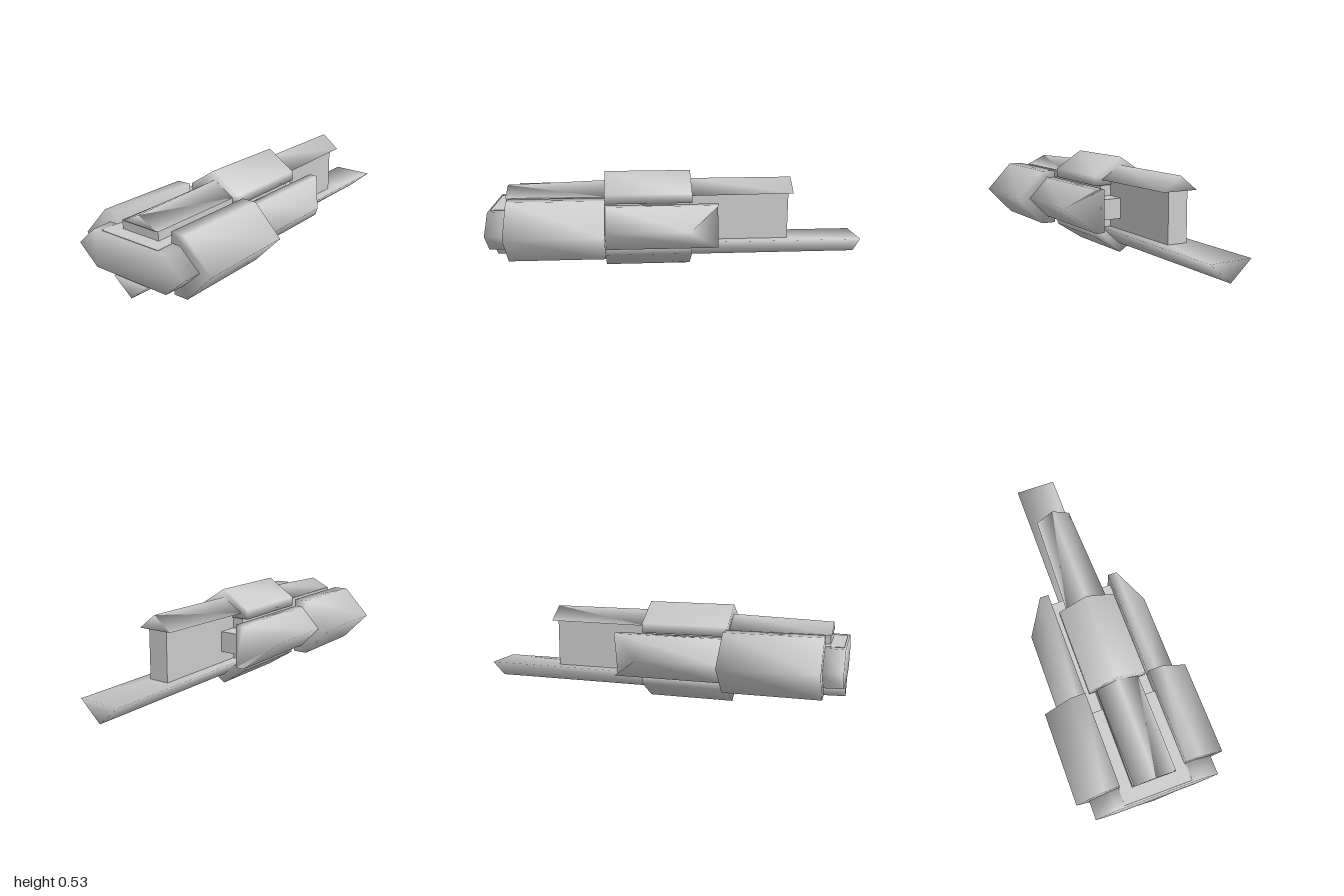
import * as THREE from 'three';

const material = new THREE.MeshStandardMaterial({ color: 0xcccccc });

// Smooth solid lofted along x. Each section is a convex loop of [x, y, z],
// counter-clockwise when seen from +x; sections run from low x to high x.
function loft(name, sections) {
  const n = sections[0].length;
  const last = (sections.length - 1) * n;
  const index = [];
  for (let s = 0; s < sections.length - 1; s++) {
    for (let j = 0; j < n; j++) {
      const a = s * n + j, b = s * n + (j + 1) % n;
      index.push(a, b, b + n, a, b + n, a + n);
    }
  }
  for (let k = 1; k < n - 1; k++) {
    index.push(0, k + 1, k, last, last + k, last + k + 1);
  }
  const geometry = new THREE.BufferGeometry();
  geometry.setAttribute('position', new THREE.Float32BufferAttribute(sections.flat(2), 3));
  geometry.setIndex(index);
  geometry.computeVertexNormals();
  const mesh = new THREE.Mesh(geometry, material);
  mesh.name = name;
  return mesh;
}

function box(name, x0, x1, y0, y1, halfZ) {
  const mesh = new THREE.Mesh(new THREE.BoxGeometry(x1 - x0, y1 - y0, 2 * halfZ), material);
  mesh.position.set((x0 + x1) / 2, (y0 + y1) / 2, 0);
  mesh.name = name;
  return mesh;
}

// Triangular rail section: base at height y, ridge at height tip
function ridge(x, y, tip, w) {
  const loop = [[x, y, -w], [x, tip, 0], [x, y, w]];
  return tip > y ? loop : loop.reverse();
}

// House-shaped sleeve section: flat base, short walls, ridge
function house(x, base, wall, tip, w) {
  const loop = [[x, base, -w], [x, wall, -w], [x, tip, 0], [x, wall, w], [x, base, w]];
  return tip > base ? loop : loop.reverse();
}

// Pointed side-pod section; tipX lets the outer edge sit back from the end
function pod(side, x, h, zIn, zMid, zOut, tipX = x) {
  const y = 0.265;
  const loop = [
    [x, y + h, zIn], [x, y + h, zMid], [tipX, y, zOut], [x, y - h, zMid], [x, y - h, zIn],
  ].map(([px, py, pz]) => [px, py, pz * side]);
  return side > 0 ? loop : loop.reverse();
}

export function createModel() {
  const model = new THREE.Group();
  model.name = 'blaster';

  // Core blocks and the upright web between the rails
  model.add(
    box('rearCore', -0.99, -0.5, 0.17, 0.365, 0.18),
    box('centreCore', -0.92, 0.05, 0.15, 0.41, 0.115),
    box('crossCore', -0.6, 0.16, 0.21, 0.32, 0.178),
    box('web', -0.4, 0.6, 0.14, 0.42, 0.055),
  );

  // Upper rail and its sleeve
  model.add(
    loft('upperRail', [
      ridge(-0.925, 0.41, 0.462, 0.107),
      ridge(-0.4, 0.41, 0.48, 0.115),
      ridge(0.06, 0.41, 0.485, 0.115),
      ridge(0.62, 0.41, 0.485, 0.095),
    ]),
    loft('upperSleeve', [-0.405, 0.06].map((x) => house(x, 0.38, 0.43, 0.53, 0.155))),
  );

  // Lower rail and its sleeve
  model.add(
    loft('lowerRail', [
      ridge(-1, 0.16, 0.075, 0.107),
      ridge(-0.4, 0.15, 0.06, 0.115),
    ]),
    loft('lowerBlade', [-0.4, 1].map((x) => ridge(x, 0.15, 0.05, 0.115))),
    loft('lowerSleeve', [-0.405, 0.06].map((x) => house(x, 0.15, 0.1, 0, 0.155))),
  );

  // Side pods with bevelled noses, and their sleeves
  for (const [label, side] of [['front', 1], ['back', -1]]) {
    model.add(
      loft(label + 'Pod', [
        pod(side, -0.4, 0.115, 0.175, 0.223, 0.335),
        pod(side, 0.195, 0.115, 0.175, 0.223, 0.335, 0.035),
      ]),
      loft(label + 'PodSleeve', [-0.9, -0.4].map((x) => pod(side, x, 0.155, 0.175, 0.255, 0.403))),
    );
  }

  // Rear yoke joining both pods
  const yoke = (x, h) => [
    [x, 0.265 - h, -0.225], [x, 0.265, -0.335], [x, 0.265 + h, -0.225],
    [x, 0.265 + h, 0.225], [x, 0.265, 0.335], [x, 0.265 - h, 0.225],
  ];
  model.add(loft('rearYoke', [yoke(-1, 0.097), yoke(-0.88, 0.1)]));

  return model;
}
